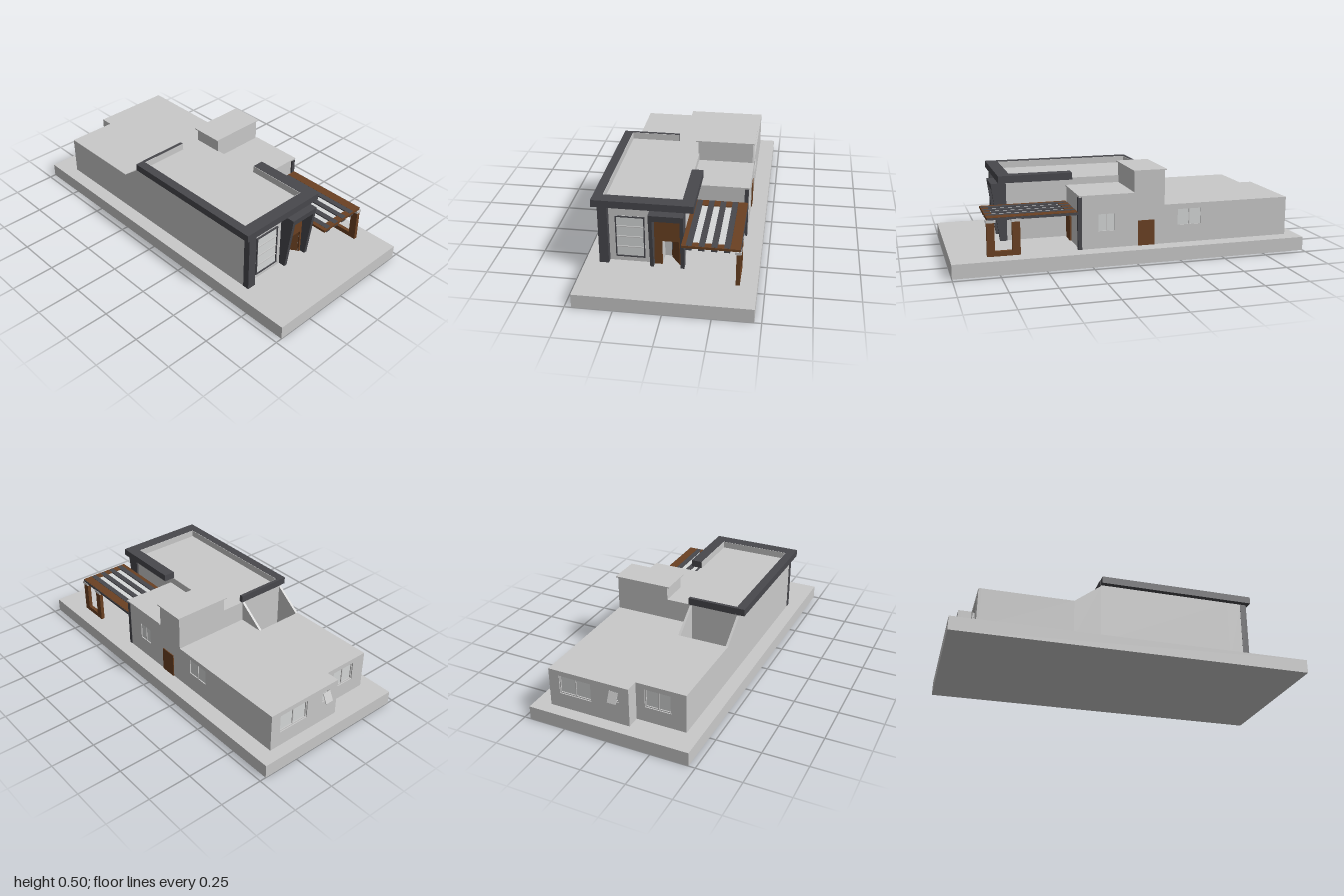
import * as THREE from 'three';

const mat = (name, color) => Object.assign(new THREE.MeshStandardMaterial({ color }), { name });

export function createModel() {
  const house = new THREE.Group();
  house.name = 'house';
  const plaster = mat('lightGreyPlaster', 0xc9c9c9);
  const dark = mat('charcoalTrim', 0x48484d);
  const wood = mat('brownWood', 0x6b4122);
  const glass = mat('paleGlass', 0xd6d8d8);
  const G = 0.078; // top of the ground slab

  const add = (name, geo, material, parent = house) => {
    const m = new THREE.Mesh(geo, material);
    m.name = name;
    parent.add(m);
    return m;
  };
  // Box from its min and max corners
  const box = (name, material, x0, x1, y0, y1, z0, z1, parent) => {
    const m = add(name, new THREE.BoxGeometry(x1 - x0, y1 - y0, z1 - z0), material, parent);
    m.position.set((x0 + x1) / 2, (y0 + y1) / 2, (z0 + z1) / 2);
    return m;
  };
  // Extruded outline with rectangular holes [u0, u1, v0, v1]
  const panel = (name, material, pts, holes, depth, parent) => {
    const shape = new THREE.Shape(pts.map(p => new THREE.Vector2(...p)));
    for (const [a, b, c, d] of holes) {
      shape.holes.push(new THREE.Path([[a, c], [a, d], [b, d], [b, c]].map(p => new THREE.Vector2(...p))));
    }
    return add(name, new THREE.ExtrudeGeometry(shape, { depth, bevelEnabled: false }), material, parent);
  };
  // Profile in the (z, y) plane, extruded along x from x0 to x1
  const sidePanel = (name, material, zy, holes, x0, x1) => {
    const m = panel(name, material, zy.map(([z, y]) => [-z, y]), holes.map(([a, b, c, d]) => [-b, -a, c, d]), x1 - x0);
    m.rotation.y = Math.PI / 2;
    m.position.x = x0;
    return m;
  };
  const rect = (a, b, c, d) => [[a, c], [b, c], [b, d], [a, d]];
  // Sliding window: frame, glass and mullions, facing local +z
  const windowUnit = (name, w, h, frameMat, columns, rows, t = 0.006) => {
    const g = new THREE.Group();
    g.name = name;
    panel('windowFrame', frameMat, rect(-w / 2, w / 2, -h / 2, h / 2), [[-w / 2 + t, w / 2 - t, -h / 2 + t, h / 2 - t]], 0.009, g);
    box('windowGlass', glass, -w / 2, w / 2, -h / 2, h / 2, 0, 0.003, g);
    for (let i = 1; i < columns; i++) {
      const x = -w / 2 + w * i / columns;
      box('mullion', frameMat, x - t / 2, x + t / 2, -h / 2, h / 2, 0, 0.008, g);
    }
    for (let i = 1; i < rows; i++) {
      const y = -h / 2 + h * i / rows;
      box('glazingBar', plaster, -w / 2 + t, w / 2 - t, y - t / 2, y + t / 2, 0, 0.008, g);
    }
    house.add(g);
    return g;
  };

  box('groundSlab', plaster, -0.463, 0.463, 0, G, -1, 1);

  // Solid cores of the volumes
  box('mainHall', plaster, -0.385, 0.06, G, 0.42, -0.185, 0.57);
  box('rightWing', plaster, 0.06, 0.356, G, 0.372, -0.01, 0.3);
  box('tower', plaster, 0.055, 0.356, G, 0.498, -0.185, -0.01);
  box('rearRight', plaster, -0.1, 0.356, G, 0.3, -0.915, -0.185);
  box('rearLeft', plaster, -0.385, -0.1, G, 0.3, -0.84, -0.335);
  box('wingRoofSlab', plaster, 0.05, 0.38, 0.37, 0.379, -0.01, 0.306);
  box('towerRoofSlab', plaster, 0.04, 0.382, 0.497, 0.503, -0.193, -0.002);

  // Stepped right wall with recessed windows
  const sideWindows = [[0.094, 0.2, 0.167, 0.274], [-0.41, -0.26, 0.172, 0.274]];
  sidePanel('rightWall', plaster, [[0.3, G], [-0.93, G], [-0.93, 0.3], [-0.185, 0.3], [-0.185, 0.498],
    [-0.01, 0.498], [-0.01, 0.372], [0.3, 0.372]].reverse(), sideWindows, 0.356, 0.371);
  for (const [a, b, c, d] of sideWindows) {
    const w = windowUnit('sideWindow', b - a, d - c, plaster, 2, 1);
    w.rotation.y = Math.PI / 2;
    w.position.set(0.356, (c + d) / 2, (a + b) / 2);
  }
  box('sideDoor', wood, 0.371, 0.376, G, 0.22, -0.126, -0.03);

  // Rear walls, each with recessed windows
  const rearWall = (name, x0, x1, z, holes) => {
    const m = panel(name, plaster, rect(-x1, -x0, G, 0.3), holes.map(([a, b, c, d]) => [-b, -a, c, d]), 0.015);
    m.rotation.y = Math.PI;
    m.position.z = z;
    for (const [a, b, c, d] of holes) {
      const w = windowUnit('rearWindow', b - a, d - c, plaster, b - a > 0.1 ? 2 : 1, 1);
      w.rotation.y = Math.PI;
      w.position.set((a + b) / 2, (c + d) / 2, z);
    }
  };
  rearWall('rearWallLeft', -0.385, -0.1, -0.84, [[-0.3, -0.15, 0.165, 0.272]]);
  rearWall('rearWallRight', -0.1, 0.371, -0.915, [[0.12, 0.31, 0.165, 0.272], [-0.04, 0.01, 0.205, 0.268]]);
  const awning = box('awningSash', plaster, -0.04, 0.01, 0.207, 0.267, -0.947, -0.943);
  awning.rotation.x = 0.45;

  // Light court with sloping side walls
  for (const x of [-0.385, -0.1]) {
    sidePanel('courtWall', plaster, [[-0.185, G], [-0.185, 0.415], [-0.335, 0.3], [-0.335, G]], [], x, x + 0.014);
  }

  // Front wall with doorway notch
  panel('frontWall', plaster, [[-0.385, G], [-0.05, G], [-0.05, 0.22], [0.04, 0.22], [0.04, G], [0.06, G],
    [0.06, 0.42], [-0.385, 0.42]], [], 0.08).position.z = 0.57;
  box('cornerPillar', dark, -0.386, -0.335, G, 0.42, 0.648, 0.685);
  windowUnit('frontWindow', 0.157, 0.245, dark, 1, 4).position.set(-0.2215, 0.23, 0.65);

  // Roof band around the main hall
  box('roofBandLeft', dark, -0.415, -0.365, 0.42, 0.46, -0.185, 0.7);
  box('roofBandFront', dark, -0.365, 0.12, 0.42, 0.46, 0.63, 0.7);
  box('roofBandRight', dark, 0.055, 0.12, 0.42, 0.46, 0.28, 0.63);
  box('roofBandBack', dark, -0.365, -0.08, 0.42, 0.46, -0.187, -0.168);
  box('parapetLiningLeft', plaster, -0.365, -0.362, 0.42, 0.459, -0.168, 0.63);
  box('parapetLiningFront', plaster, -0.365, 0.055, 0.42, 0.459, 0.627, 0.63);
  box('parapetLiningRight', plaster, 0.052, 0.055, 0.42, 0.459, 0.28, 0.63);
  box('parapetLiningBack', plaster, -0.365, -0.08, 0.42, 0.459, -0.168, -0.165);

  // Entrance portal leaning outward at the top
  const lean = y => 0.69 + 0.045 * (y - G) / (0.41 - G);
  const portal = (name, y0, x0, x1) => sidePanel(name, dark,
    [[0.65, y0], [0.65, 0.41], [lean(0.41), 0.41], [lean(y0), y0]], [], x0, x1);
  portal('portalJamb', G, -0.111, -0.092);
  portal('portalJamb', G, 0.052, 0.071);
  portal('portalLintel', 0.375, -0.092, 0.052);
  panel('entrancePanel', wood, [[-0.092, G], [-0.05, G], [-0.05, 0.22], [0.04, 0.22], [0.04, G], [0.052, G],
    [0.052, 0.375], [-0.092, 0.375]], [], 0.009).position.z = 0.65;
  const hinge = new THREE.Group();
  hinge.name = 'entranceDoor';
  hinge.position.set(0.039, 0, 0.65);
  hinge.rotation.y = -0.95;
  house.add(hinge);
  box('doorLeaf', wood, -0.085, 0, G, 0.217, -0.006, 0, hinge);
  box('doorHandle', dark, -0.079, -0.075, 0.13, 0.17, 0, 0.005, hinge);

  // Carport wall details
  box('carportDoor', wood, 0.077, 0.17, G, 0.218, 0.3, 0.309);
  box('wingPillar', dark, 0.352, 0.373, G, 0.37, 0.288, 0.31);

  // Pergola: timber frame, dark rafters and glass strips
  box('pergolaFrontBeam', wood, 0.07, 0.372, 0.277, 0.29, 0.762, 0.802);
  box('pergolaBackBeam', wood, 0.07, 0.372, 0.277, 0.29, 0.31, 0.365);
  box('pergolaLeftBeam', wood, 0.07, 0.093, 0.277, 0.29, 0.365, 0.762);
  box('pergolaRightBeam', wood, 0.32, 0.372, 0.277, 0.29, 0.365, 0.762);
  box('pergolaEdge', dark, 0.372, 0.375, 0.274, 0.288, 0.31, 0.8);
  for (let i = 0; i < 4; i++) {
    const x = 0.093 + i * 0.065;
    box('rafter', dark, x, x + 0.031, 0.264, 0.2905, 0.312, 0.798);
    if (i < 3) box('glassStrip', glass, x + 0.031, x + 0.065, 0.28, 0.284, 0.365, 0.762);
  }
  // Pergola legs with pale capitals and a joining sill
  for (const [a, b] of [[0.625, 0.668], [0.762, 0.804]]) {
    box('pergolaLeg', wood, 0.352, 0.373, G, 0.262, a, b);
    box('legCapital', plaster, 0.345, 0.378, 0.262, 0.277, a - 0.006, b + 0.004);
  }
  box('legSill', wood, 0.352, 0.373, G, 0.105, 0.668, 0.762);

  return house;
}
